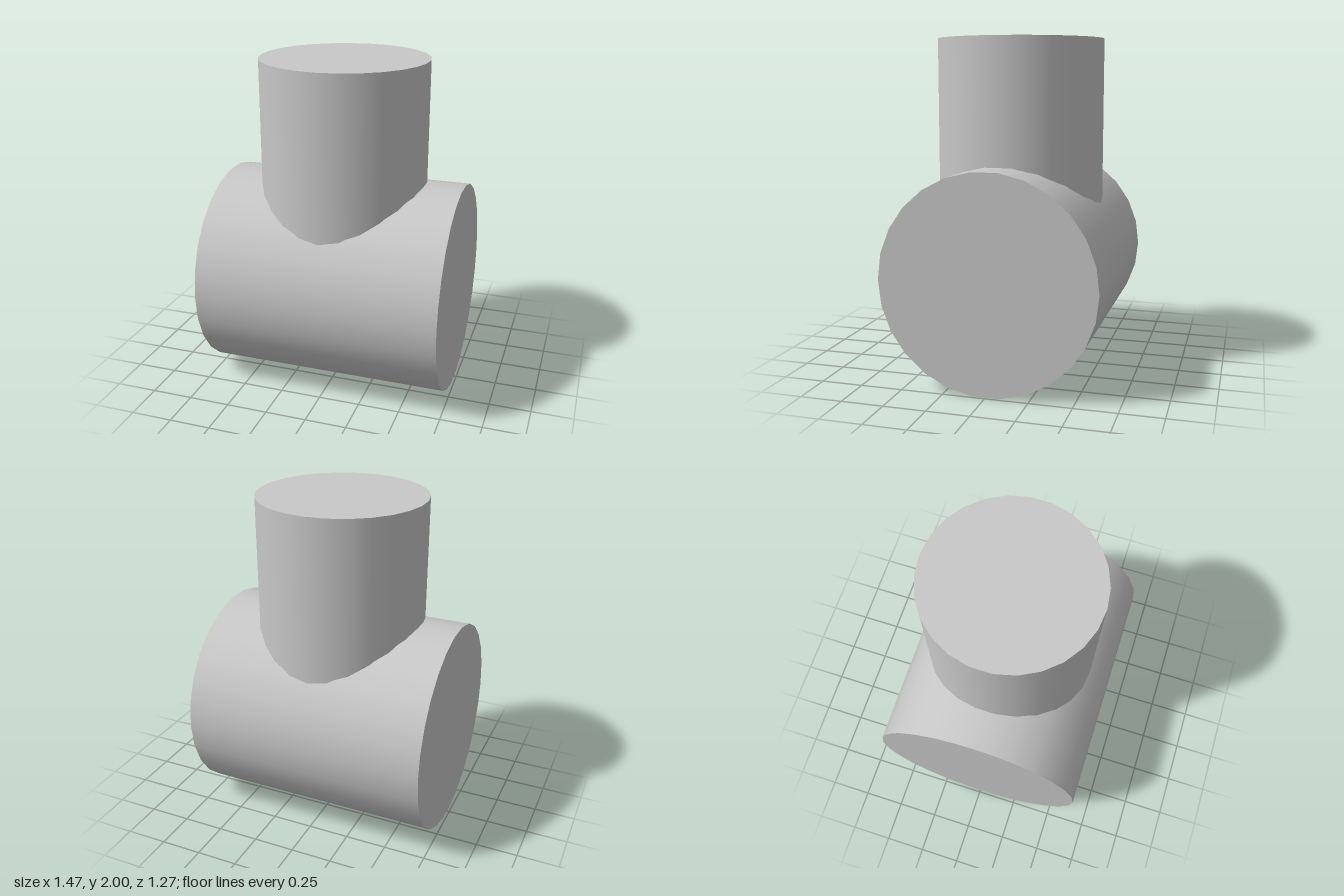
import * as THREE from 'three';

const SIDES = 26;
const MAIN_RADIUS = 0.637, MAIN_LENGTH = 1.47;
const BRANCH_RADIUS = 0.505, TOP = 2;
const AXIS_Y = MAIN_RADIUS * Math.cos(Math.PI / SIDES); // rests on a flat facet

export function createModel() {
  const group = new THREE.Group();
  group.name = 'pipeTee';
  const grey = new THREE.MeshStandardMaterial({ color: 0xc8c8c8 });
  grey.name = 'light grey';

  const add = (name, geometry) => {
    const mesh = new THREE.Mesh(geometry, grey);
    mesh.name = name;
    group.add(mesh);
  };

  // Horizontal main pipe with closed ends
  add('mainPipe', new THREE.CylinderGeometry(MAIN_RADIUS, MAIN_RADIUS, MAIN_LENGTH, SIDES)
    .rotateZ(Math.PI / 2).translate(0, AXIS_Y, 0));

  // Upright branch, its lower rim shaped to sit on the main pipe
  const branch = new THREE.CylinderGeometry(BRANCH_RADIUS, BRANCH_RADIUS, 1, SIDES, 1, true)
    .translate(0, TOP - 0.5, 0);
  const pos = branch.attributes.position;
  for (let i = 0; i < pos.count; i++) {
    if (pos.getY(i) < TOP - 0.5) {
      pos.setY(i, AXIS_Y + Math.sqrt(AXIS_Y ** 2 - pos.getZ(i) ** 2) - 0.005);
    }
  }
  add('branchPipe', branch);

  // Flat cap on the branch
  add('branchCap', new THREE.CircleGeometry(BRANCH_RADIUS, SIDES, Math.PI / 2)
    .rotateX(-Math.PI / 2).translate(0, TOP, 0));

  return group;
}
